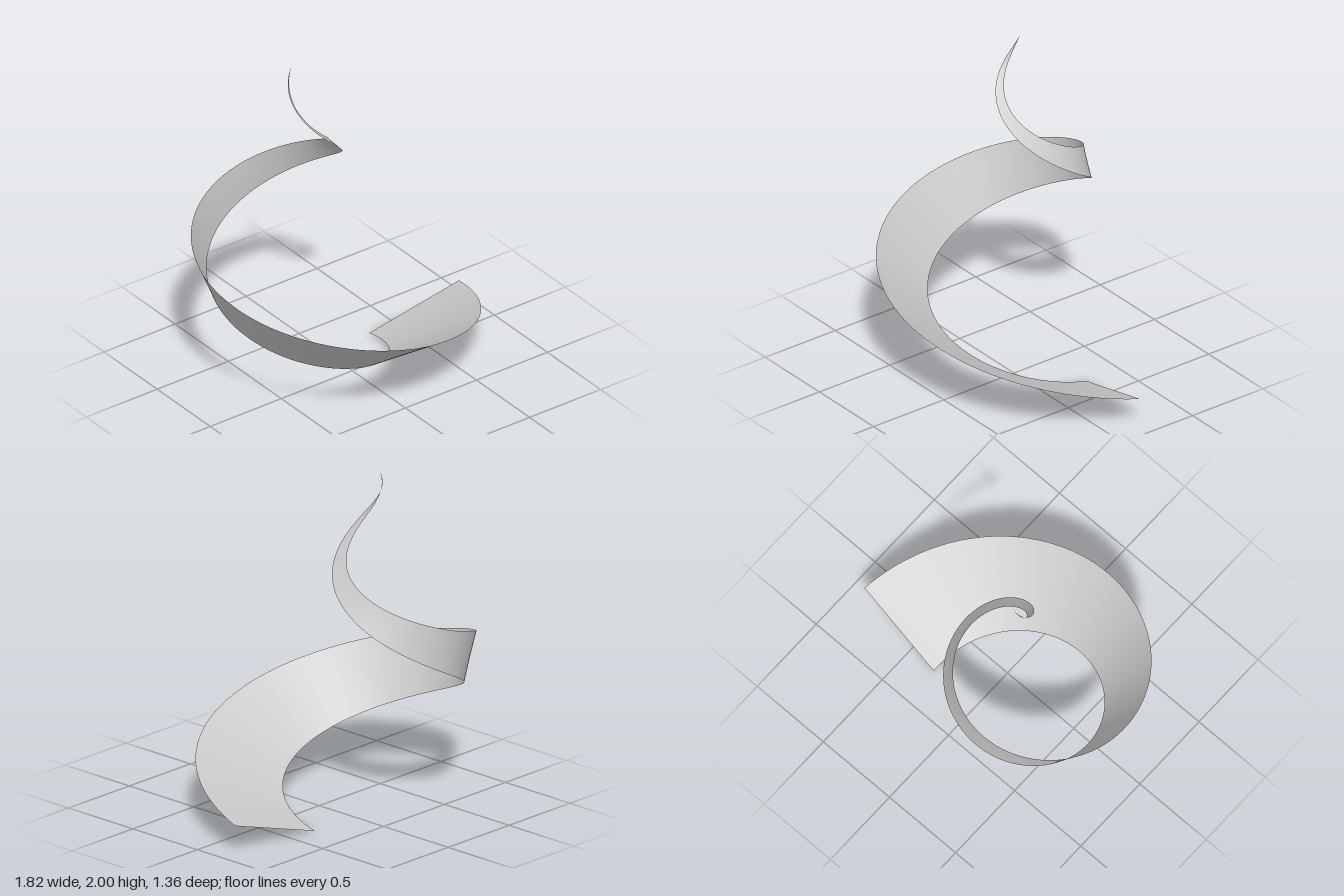
import * as THREE from 'three';

const TURN = 540;              // total winding in degrees
const CX = -0.25, CZ = -0.235; // spiral axis
const rad = THREE.MathUtils.degToRad;

// Point on the ribbon: t runs along it, side goes from -1 (lower edge) to 1 (upper edge)
function ribbonPoint(t, side) {
  const deg = TURN * t, a = rad(deg);
  const half = side * 0.303 * Math.pow(1 - t, 1.25);       // tapering half width
  const roll = rad(16 + 0.26 * deg + 0.00011 * deg * deg); // gradual twist
  const r = 0.86 * (1 - t) + half * Math.cos(roll);
  const y = 0.083 + 1.917 * t + half * Math.sin(roll);
  const skew = side * 0.033 * Math.pow(1 - t, 4);          // slight slant of the broad end
  return [
    CX + r * Math.cos(a) - skew * Math.sin(a),
    Math.max(0, y),
    CZ + r * Math.sin(a) + skew * Math.cos(a),
  ];
}

export function createModel() {
  const along = 240, across = 8;
  const positions = [], indices = [];
  for (let i = 0; i <= along; i++) {
    for (let j = 0; j <= across; j++) {
      positions.push(...ribbonPoint(i / along, (2 * j) / across - 1));
      if (i < along && j < across) {
        const a = i * (across + 1) + j, b = a + across + 1;
        indices.push(a, b, a + 1, b, b + 1, a + 1);
      }
    }
  }
  const geometry = new THREE.BufferGeometry();
  geometry.setAttribute('position', new THREE.Float32BufferAttribute(positions, 3));
  geometry.setIndex(indices);
  geometry.computeVertexNormals();

  // Single twisting ribbon, broad at the base and pointed at the top
  const ribbon = new THREE.Mesh(
    geometry,
    new THREE.MeshStandardMaterial({ color: 0xcccccc, side: THREE.DoubleSide })
  );
  ribbon.name = 'spiralRibbon';
  const group = new THREE.Group();
  group.name = 'twistedSpiral';
  group.add(ribbon);
  return group;
}
